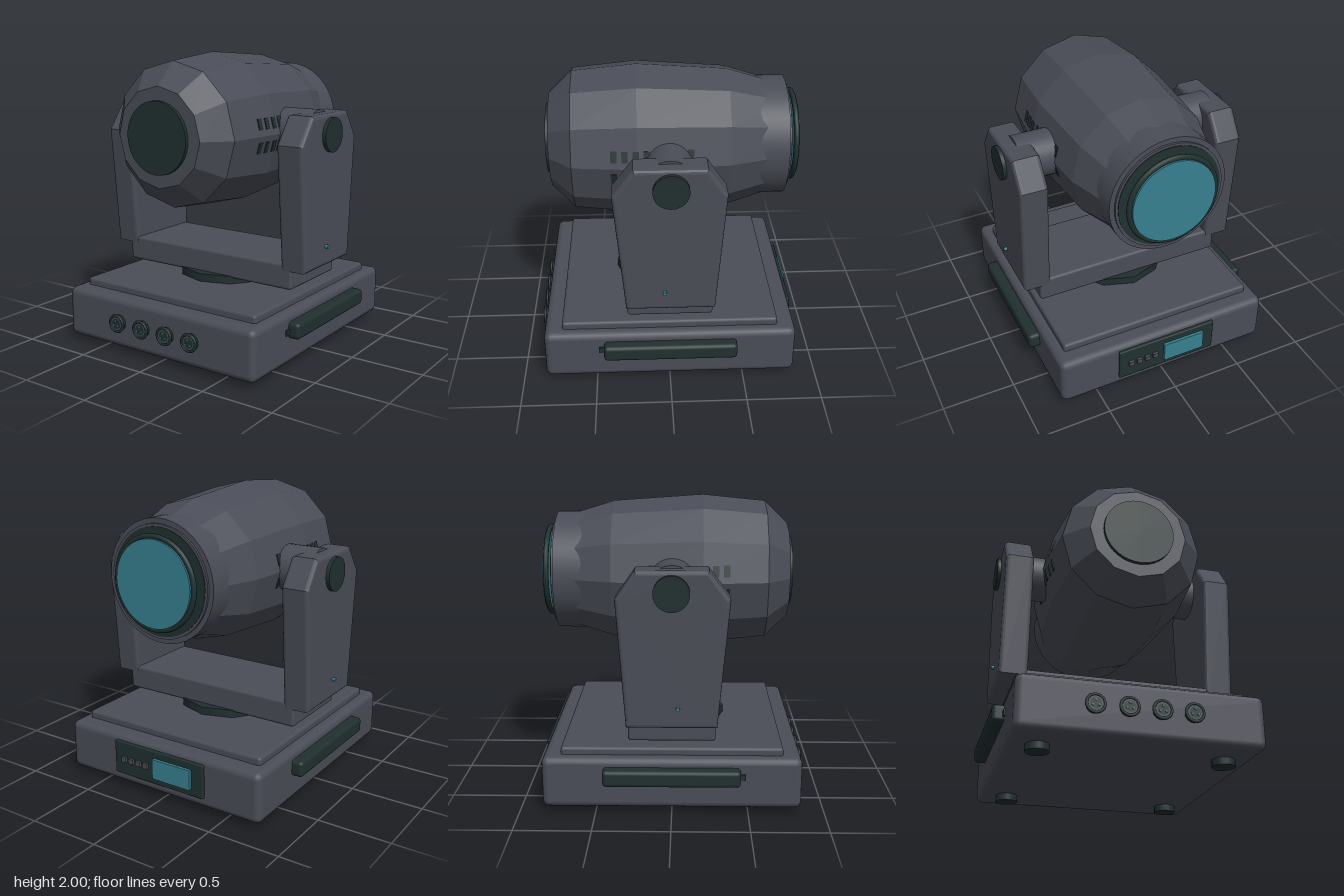
import * as THREE from 'three';
import { RoundedBoxGeometry } from 'three/addons/geometries/RoundedBoxGeometry.js';

const paint = (name, color) => {
  const m = new THREE.MeshStandardMaterial({ color });
  m.name = name;
  return m;
};

export function createModel() {
  const body = paint('charcoal housing', 0x4a4d57);
  const dark = paint('dark rubber', 0x20302f);
  const teal = paint('teal glass', 0x36808f);
  const pinGreen = paint('green contacts', 0x2f6b60);

  const model = new THREE.Group();
  model.name = 'movingHeadLight';

  const add = (name, geometry, material, x = 0, y = 0, z = 0, parent = model) => {
    const mesh = new THREE.Mesh(geometry, material);
    mesh.name = name;
    mesh.position.set(x, y, z);
    parent.add(mesh);
    return mesh;
  };
  const box = (w, h, d) => new THREE.BoxGeometry(w, h, d);
  const rounded = (w, h, d, r) => new RoundedBoxGeometry(w, h, d, 2, r);
  const cylX = (r, len, n = 32) => new THREE.CylinderGeometry(r, r, len, n).rotateZ(Math.PI / 2);
  const cylZ = (r, len, n = 32) => new THREE.CylinderGeometry(r, r, len, n).rotateX(Math.PI / 2);

  // Base with raised top plate, feet and turntable
  add('base', rounded(1.54, 0.345, 1.69, 0.045), body, 0, 0.2175, 0);
  add('topPlate', rounded(1.4, 0.1, 1.45, 0.02), body, 0, 0.39, 0);
  for (const x of [-0.585, 0.585])
    for (const z of [-0.58, 0.58])
      add('foot', new THREE.CylinderGeometry(0.075, 0.075, 0.06, 16), dark, x, 0.03, z);
  add('turntable', new THREE.CylinderGeometry(0.355, 0.355, 0.06, 10), dark, 0, 0.465, 0);

  // Side handles
  for (const s of [-1, 1]) {
    add('handle', rounded(0.1, 0.11, 0.89, 0.025), dark, s * 0.795, 0.277, 0);
    add('handleStub', box(0.03, 0.04, 0.06), dark, s * 0.765, 0.27, 0.45);
  }

  // Round sockets on the front
  for (const x of [-0.305, -0.1, 0.1, 0.3]) {
    const socket = new THREE.Group();
    socket.name = 'socket';
    socket.position.set(x, 0.225, 0.84);
    model.add(socket);
    add('socketBody', cylZ(0.054, 0.04, 24), dark, 0, 0, 0.02, socket);
    add('socketRim', new THREE.TorusGeometry(0.055, 0.01, 8, 24), dark, 0, 0, 0.035, socket);
    add('socketFace', new THREE.RingGeometry(0.036, 0.044, 24), body, 0, 0, 0.0415, socket);
    for (let i = 0; i < 3; i++) {
      const a = Math.PI / 2 + (i * Math.PI * 2) / 3;
      add('pin', cylZ(0.008, 0.01, 8), pinGreen, 0.022 * Math.cos(a), 0.022 * Math.sin(a), 0.04, socket);
    }
  }

  // Control panel on the back
  add('controlPanel', rounded(0.72, 0.235, 0.03, 0.008), dark, 0, 0.235, -0.85);
  add('screen', box(0.3, 0.14, 0.03), teal, -0.12, 0.235, -0.87);
  for (let i = 0; i < 4; i++)
    add('button', box(0.038, 0.035, 0.03), body, 0.095 + i * 0.06, 0.235, -0.868);

  // Yoke: crossbar and two tapered arms
  add('crossbar', rounded(1.37, 0.172, 0.57, 0.02), body, 0, 0.566, 0);
  const outline = new THREE.Shape([
    [-0.29, 0.61], [0.29, 0.61], [0.35, 1.44], [0.225, 1.62], [-0.23, 1.62], [-0.365, 1.44],
  ].map(([x, y]) => new THREE.Vector2(x, y)));
  const armGeometry = new THREE.ExtrudeGeometry(outline, {
    depth: 0.14, bevelThickness: 0.025, bevelSize: 0.025, bevelOffset: -0.025, bevelSegments: 3,
  }).translate(0, 0, -0.07).rotateY(Math.PI / 2);
  for (const s of [-1, 1]) {
    add('yokeArm', armGeometry, body, s * 0.705, 0, 0);
    add('tiltHub', cylX(0.157, 0.27), body, s * 0.575, 1.483, 0);
    add('hubCap', cylX(0.114, 0.05), dark, s * 0.8, 1.483, 0);
    add('indicator', cylX(0.013, 0.04, 12), teal, s * 0.802, 0.745, 0.04);
  }

  // Faceted twelve-sided head
  const head = new THREE.Group();
  head.name = 'head';
  head.position.y = 1.484;
  model.add(head);
  const profile = [
    [0, -0.77], [0.36, -0.77], [0.475, -0.4], [0.517, 0.2], [0.475, 0.62], [0.325, 0.775], [0, 0.775],
  ].map(([r, z]) => new THREE.Vector2(r, z));
  const shell = new THREE.LatheGeometry(profile, 12).rotateX(Math.PI / 2).toNonIndexed();
  shell.computeVertexNormals();
  add('headShell', shell, body, 0, 0, 0, head);
  add('frontCap', cylZ(0.235, 0.04, 40), dark, 0, 0, 0.78, head);

  // Lens barrel at the back
  add('lensBarrel', cylZ(0.4, 0.39, 48), body, 0, 0, -0.59, head);
  add('barrelLip', cylZ(0.367, 0.02, 48), body, 0, 0, -0.79, head);
  add('lensRecess', cylZ(0.35, 0.008, 48), dark, 0, 0, -0.8, head);
  add('lensRing', new THREE.TorusGeometry(0.296, 0.018, 10, 48), dark, 0, 0, -0.842, head);
  add('lens', cylZ(0.284, 0.034, 48), teal, 0, 0, -0.85, head);

  // Two rows of cooling slots on each side, laid on the facets
  const tilt = Math.PI / 12;
  for (const s of [-1, 1])
    for (const row of [-1, 1])
      for (let i = 0; i < 8; i++) {
        const z = -0.14 + i * 0.07;
        const r = z > 0.2 ? 0.517 - (z - 0.2) * 0.1 : 0.517 - (0.2 - z) * 0.07;
        const slot = add('coolingSlot', box(0.016, 0.075, 0.04), dark,
          s * (r - 0.075 * Math.tan(tilt) - 0.004), row * 0.075, z, head);
        slot.rotation.z = s * row * tilt;
      }

  return model;
}
